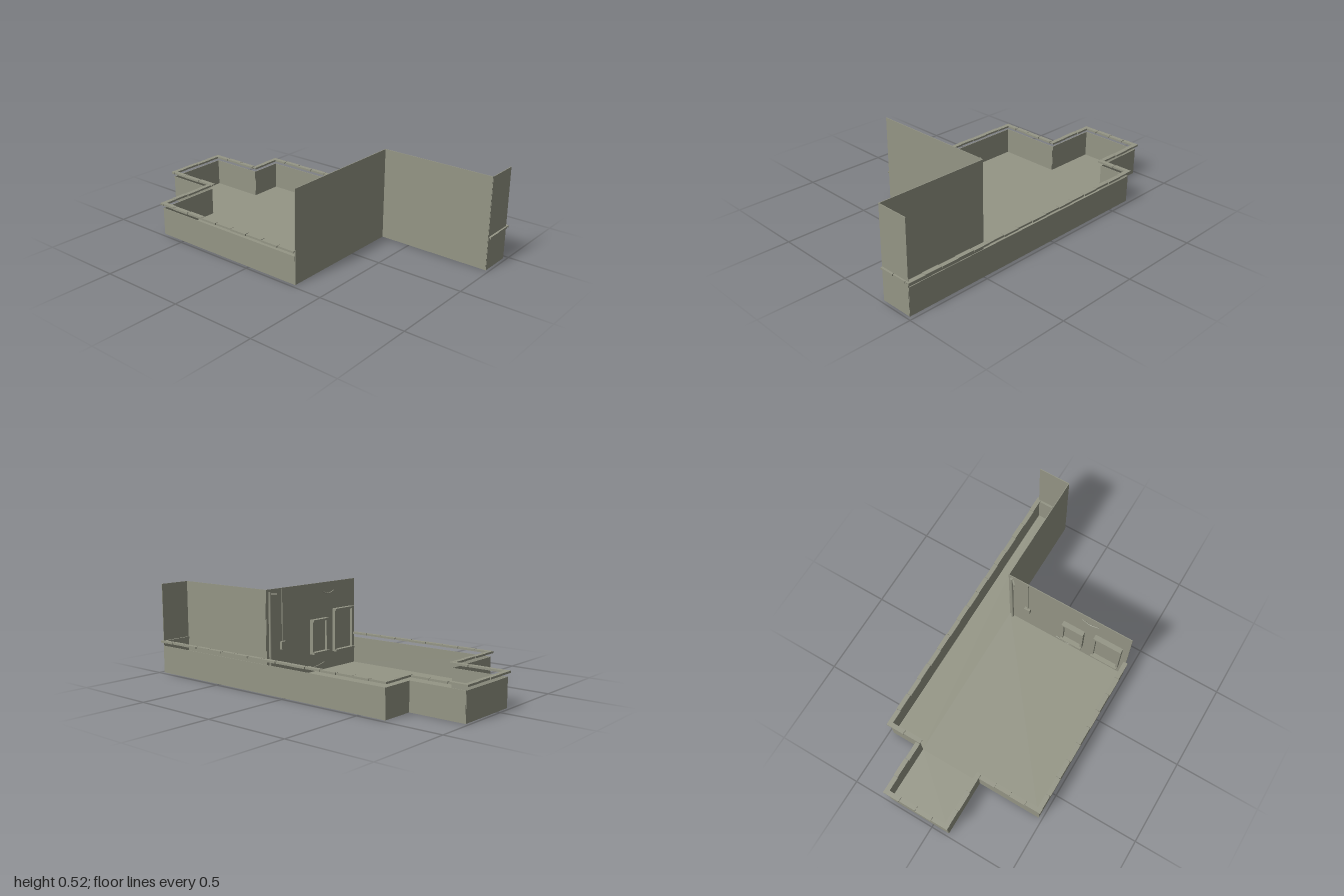
import * as THREE from 'three';

const stone = new THREE.MeshStandardMaterial({ color: 0x949585, side: THREE.DoubleSide });
stone.name = 'weathered stone';

const LOW = 0.16, HIGH = 0.525, T = 0.004;
// Terrace outline as [x, z], starting at the front of the left edge
const outline = [
  [-0.477, 0.32], [-0.477, -0.655], [-0.097, -0.655], [-0.097, -0.98], [0.282, -0.98],
  [0.282, -0.655], [0.475, -0.655], [0.475, 0.98], [0.287, 0.98], [0.287, 0.32],
];

function box(parent, name, w, h, d, x, y, z) {
  const mesh = new THREE.Mesh(new THREE.BoxGeometry(w, h, d), stone);
  mesh.name = name;
  mesh.position.set(x, y, z);
  parent.add(mesh);
  return mesh;
}

function tube(parent, name, points, radius) {
  const curve = new THREE.CatmullRomCurve3(points.map((p) => new THREE.Vector3(...p)));
  const mesh = new THREE.Mesh(new THREE.TubeGeometry(curve, 10, radius, 6), stone);
  mesh.name = name;
  parent.add(mesh);
}

// Upright wall between two outline points
function wall(parent, name, [ax, az], [bx, bz], height) {
  const len = Math.hypot(bx - ax, bz - az);
  const mesh = box(parent, name, len, height, T, (ax + bx) / 2, height / 2, (az + bz) / 2);
  mesh.rotation.y = -Math.atan2(bz - az, bx - ax);
}

// Coping channel profile: a thin plate with a lip on each side
function copingShape() {
  const s = new THREE.Shape();
  const pts = [[-0.013, 0.18], [-0.007, 0.18], [-0.007, 0.185], [0.007, 0.185], [0.007, 0.18],
    [0.013, 0.18], [0.013, 0.191], [-0.013, 0.191]];
  s.setFromPoints(pts.map((p) => new THREE.Vector2(...p)));
  return s;
}

// Row of coping stones along one edge, overlapping the corners
function coping(parent, [ax, az], [bx, bz], startExtra, endExtra) {
  const run = new THREE.Group();
  run.name = 'copingRun';
  run.position.set(ax, 0, az);
  run.rotation.y = Math.atan2(bx - ax, bz - az);
  const len = Math.hypot(bx - ax, bz - az) + startExtra + endExtra;
  const n = Math.max(1, Math.round(len / 0.105));
  for (let i = 0; i < n; i++) {
    const geo = new THREE.ExtrudeGeometry(copingShape(), { depth: len / n - 0.003, bevelEnabled: false });
    const mesh = new THREE.Mesh(geo, stone);
    mesh.name = 'copingStone';
    mesh.position.set(i % 2 ? 0.0015 : -0.0015, 0, -startExtra + (i * len) / n);
    run.add(mesh);
  }
  parent.add(run);
}

// Framed opening on the house wall, projecting toward the terrace
function framedPanel(parent, name, x0, x1, y0, y1) {
  const g = new THREE.Group();
  g.name = name;
  const cx = (x0 + x1) / 2, cy = (y0 + y1) / 2, w = x1 - x0, h = y1 - y0, b = 0.012;
  for (const x of [x0 + b / 2, x1 - b / 2]) box(g, 'frameJamb', b, h, 0.022, x, cy, 0.306);
  box(g, 'frameHead', w, b, 0.03, cx, y1 - b / 2, 0.302);
  box(g, 'frameSill', w, b, 0.034, cx, y0 + b / 2, 0.3);
  box(g, 'panel', w - 2 * b, h - 2 * b, 0.006, cx, cy, 0.313);
  parent.add(g);
}

export function createModel() {
  const model = new THREE.Group();
  model.name = 'terrace';

  // Floor slab
  const shape = new THREE.Shape(outline.map(([x, z]) => new THREE.Vector2(x, -z)));
  const floor = new THREE.Mesh(
    new THREE.ExtrudeGeometry(shape, { depth: 0.002, bevelEnabled: false }), stone);
  floor.name = 'floor';
  floor.rotation.x = -Math.PI / 2;
  model.add(floor);

  // Low parapets and tall house walls
  outline.forEach((p, i) => {
    const q = outline[(i + 1) % outline.length];
    const tall = i >= 7;
    wall(model, tall ? 'houseWall' : 'parapet', p, q, tall ? HIGH : LOW);
  });

  // Floating coping along the parapets and the narrow front end
  const extras = [[0, 0.013], [0.013, -0.013], [0.013, 0.013], [0.013, 0.013], [0.013, -0.013],
    [0.013, 0.013], [0.013, 0.013], [-0.013, 0]];
  extras.forEach(([s, e], i) => coping(model, outline[i], outline[i + 1], s, e));

  // Openings in the house wall
  framedPanel(model, 'largeWindow', -0.44, -0.27, 0.1, 0.36);
  framedPanel(model, 'smallWindow', -0.205, -0.07, 0.11, 0.315);

  // Drainpipe beside the corner
  const pipe = new THREE.Mesh(new THREE.CylinderGeometry(0.008, 0.008, 0.512, 10), stone);
  pipe.name = 'drainpipe';
  pipe.position.set(0.265, 0.256, 0.31);
  model.add(pipe);
  const bracket = box(model, 'pipeBracket', 0.034, 0.012, 0.008, 0.245, 0.5, 0.298);
  bracket.rotation.y = -Math.PI / 4;

  // Switch box with its conduit
  box(model, 'switchBox', 0.036, 0.045, 0.016, 0.163, 0.2, 0.309);
  box(model, 'conduit', 0.006, 0.3, 0.006, 0.163, 0.372, 0.314);

  // Loose cables on the wall
  for (const [x0, x1, y] of [[-0.28, -0.18, 0.47], [-0.19, -0.03, 0.045]]) {
    tube(model, 'looseCable', [[x0, y, 0.314], [(x0 + x1) / 2, y - 0.014, 0.312], [x1, y, 0.314]], 0.003);
  }
  return model;
}
